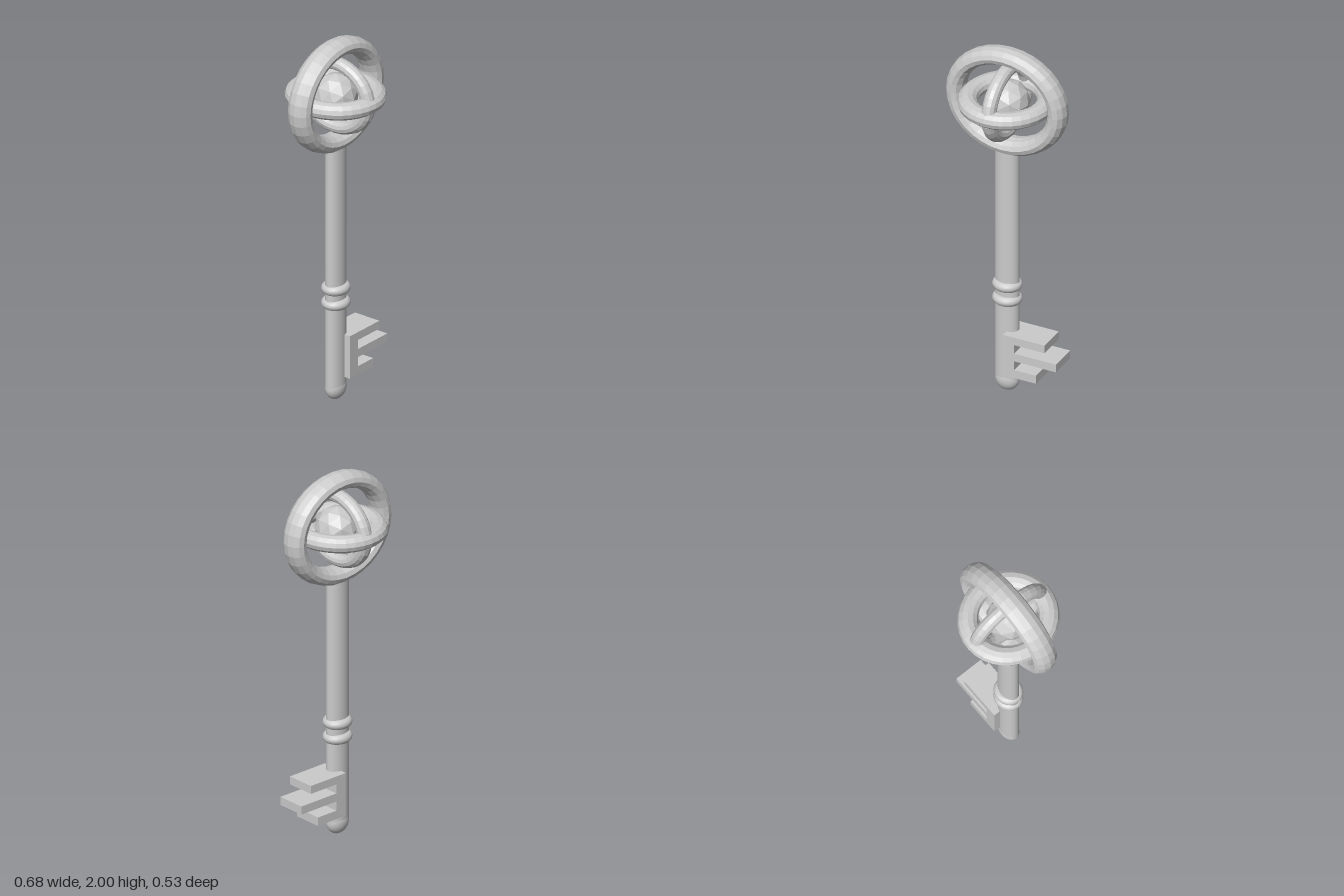
import * as THREE from 'three';

const material = new THREE.MeshStandardMaterial({ color: 0xcccccc });
const facetedMaterial = new THREE.MeshStandardMaterial({ color: 0xcccccc, flatShading: true });
const HEAD_Y = 1.697;

export function createModel() {
  const key = new THREE.Group();
  key.name = 'key';

  const add = (name, geometry, y = 0, mat = material) => {
    const mesh = new THREE.Mesh(geometry, mat);
    mesh.name = name;
    mesh.position.y = y;
    key.add(mesh);
    return mesh;
  };

  // Handle: a wide upright ring holding two smaller crossed rings
  add('outerRing', new THREE.TorusGeometry(0.258, 0.045, 12, 32).scale(1.12, 1, 1.51),
    HEAD_Y, facetedMaterial);
  add('horizontalRing', new THREE.TorusGeometry(0.21, 0.054, 12, 32).rotateX(Math.PI / 2).scale(0.95, 0.83, 1),
    HEAD_Y, facetedMaterial);
  add('verticalRing', new THREE.TorusGeometry(0.205, 0.04, 12, 32).rotateY(Math.PI / 2).scale(0.95, 0.86, 1),
    HEAD_Y, facetedMaterial);

  // Faceted gem at the centre of the rings
  add('gem', new THREE.IcosahedronGeometry(0.117, 1), HEAD_Y, facetedMaterial);

  // Oval shaft with a domed tip
  add('shaft', new THREE.CylinderGeometry(0.066, 0.066, 1.36, 32).scale(1, 1, 0.69), 0.745);
  add('tip', new THREE.SphereGeometry(0.066, 32, 16).scale(1, 1, 0.72), 0.07).scale.y = 1.03;

  // Pair of collars
  for (const y of [0.54, 0.622]) {
    add('collar', new THREE.TorusGeometry(0.053, 0.026, 12, 32).rotateX(Math.PI / 2).scale(1, 1, 0.92), y);
  }

  // Bit: a spine with three teeth of different lengths, cut as one comb
  const comb = new THREE.Shape();
  comb.moveTo(0.015, 0.127);
  for (const [bottom, top, reach] of [[0.127, 0.174, 0.203], [0.225, 0.27, 0.316], [0.32, 0.364, 0.252]]) {
    comb.lineTo(0.079, bottom);
    comb.lineTo(reach, bottom);
    comb.lineTo(reach, top);
    comb.lineTo(0.079, top);
  }
  comb.lineTo(0.015, 0.364);
  comb.closePath();
  add('bit', new THREE.ExtrudeGeometry(comb, { depth: 0.158, bevelEnabled: false }).translate(0, 0, -0.079),
    0, facetedMaterial);

  return key;
}
